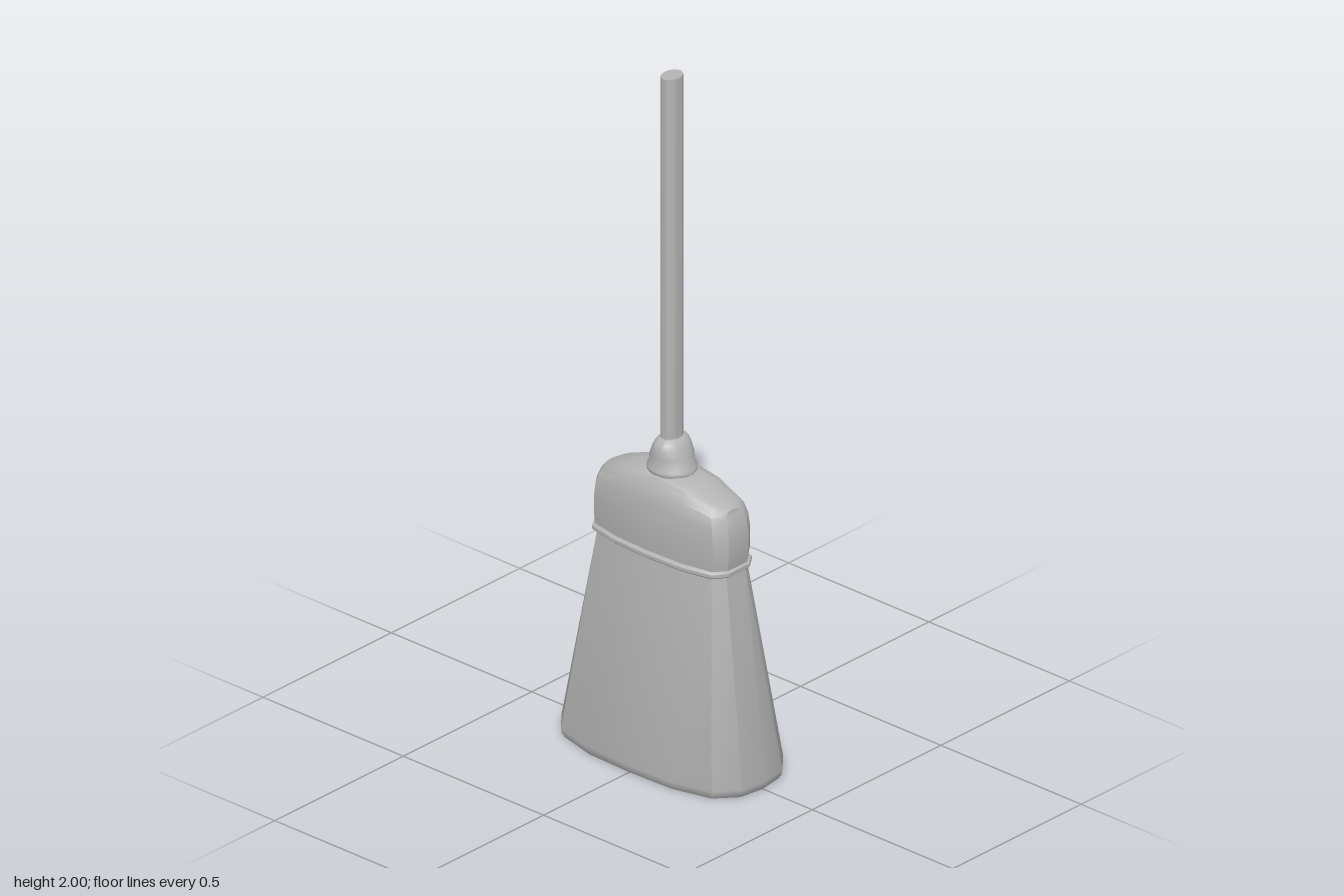
import * as THREE from 'three';
import { toCreasedNormals } from 'three/addons/utils/BufferGeometryUtils.js';

const grey = new THREE.MeshStandardMaterial({ color: 0xb4b4b4 });
grey.name = 'plainGrey';

// Mirror a quarter outline, given from the z axis to the x axis, into a closed ring.
function mirrorQuarter(q) {
  const half = [...q, ...q.slice(0, -1).reverse().map(([x, z]) => [x, -z])];
  return [...half, ...half.slice(1, -1).reverse().map(([x, z]) => [-x, z])];
}

// A ring at height y; y may be a function of z.
function ring(quarter, y, sx = 1, sz = 1) {
  return mirrorQuarter(quarter).map(([x, z]) => {
    const pz = z * sz;
    return [x * sx, typeof y === 'function' ? y(pz) : y, pz];
  });
}

function ellipse(y, rx, rz, n = 28) {
  return Array.from({ length: n }, (_, i) => {
    const a = (i / n) * Math.PI * 2;
    return [Math.sin(a) * rx, y, Math.cos(a) * rz];
  });
}

// Skin a stack of rings, listed from bottom to top, with optional flat ends.
function loft(name, rings, crease, closeBottom = true, closeTop = true) {
  const n = rings[0].length;
  const pos = rings.flat(2);
  const idx = [];
  for (let r = 0; r < rings.length - 1; r++) {
    for (let i = 0; i < n; i++) {
      const a = r * n + i, b = r * n + ((i + 1) % n);
      idx.push(a, b, b + n, a, b + n, a + n);
    }
  }
  const top = (rings.length - 1) * n;
  for (let i = 1; i < n - 1; i++) {
    if (closeBottom) idx.push(0, i + 1, i);
    if (closeTop) idx.push(top, top + i, top + i + 1);
  }
  const geo = new THREE.BufferGeometry();
  geo.setAttribute('position', new THREE.Float32BufferAttribute(pos, 3));
  geo.setIndex(idx);
  const mesh = new THREE.Mesh(toCreasedNormals(geo, crease), grey);
  mesh.name = name;
  return mesh;
}

export function createModel() {
  const group = new THREE.Group();
  group.name = 'broom';

  const foot = [[0, 0.333], [0.078, 0.322], [0.139, 0.269], [0.17, 0.15], [0.175, 0]];
  const neck = [[0, 0.238], [0.04, 0.238], [0.076, 0.212], [0.095, 0.12], [0.1, 0]];

  // Flared bristle block with a small rounded lower rim
  group.add(loft('bristles', [
    ring(foot, 0, 0.95, 0.97),
    ring(foot, 0.012, 0.99, 0.993),
    ring(foot, 0.026),
    ring(neck, 0.59, 0.94, 0.97),
    ring(neck, 0.62, 0.9, 0.95),
  ], 0.5));

  // Thin binding band
  group.add(loft('band', [
    ring(neck, 0.608, 0.98, 0.98),
    ring(neck, 0.613, 1.03, 1.005),
    ring(neck, 0.622, 1.03, 1.005),
    ring(neck, 0.628, 0.96, 0.97),
  ], 0.5));

  // Shoulder cap: upright walls, then a crown that drops toward both ends
  const crown = (low, rise) => (z) => low + rise * (1 - Math.min(1, (z / 0.22) ** 2));
  group.add(loft('shoulderCap', [
    ring(neck, 0.62, 0.93, 0.975),
    ring(neck, 0.66, 0.96, 1),
    ring(neck, 0.71, 0.96, 1),
    ring(neck, crown(0.75, 0.02), 0.93, 0.975),
    ring(neck, crown(0.775, 0.035), 0.84, 0.93),
    ring(neck, crown(0.783, 0.054), 0.66, 0.915),
    ring(neck, crown(0.787, 0.06), 0.4, 0.91),
    ring(neck, crown(0.788, 0.061), 0, 0.91),
  ], 0.6, true, false));

  // Socket holding the handle
  group.add(loft('socket', [
    [0.83, 0.058, 0.062], [0.842, 0.065, 0.07], [0.85, 0.065, 0.069],
    [0.856, 0.061, 0.064], [0.885, 0.06, 0.058], [0.908, 0.058, 0.048],
    [0.924, 0.052, 0.039], [0.933, 0.043, 0.031], [0.936, 0.032, 0.025],
  ].map((r) => ellipse(...r)), 0.7));

  // Oval handle
  group.add(loft('handle', [ellipse(0.9, 0.034, 0.026), ellipse(2, 0.034, 0.026)], 0.6));

  return group;
}
